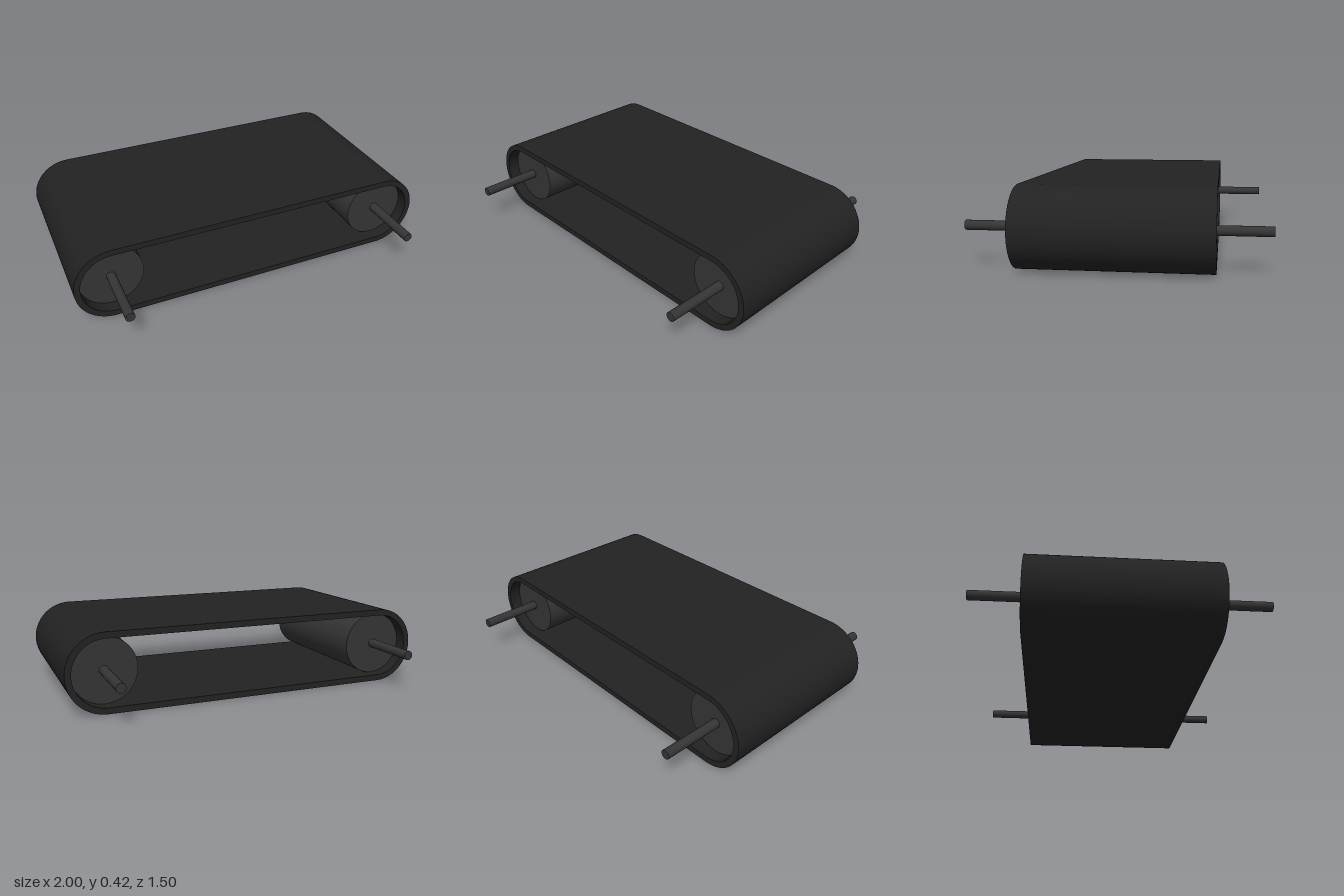
import * as THREE from 'three';
import { toCreasedNormals } from 'three/addons/utils/BufferGeometryUtils.js';

const R = 0.208;          // outer belt radius, also axle height
const SPAN = 0.792;       // roller centre offset in x
const BELT_WIDTH = 0.964;

// Rounded slot outline: two half circles joined by straight runs
function slot(path, r) {
  path.moveTo(-SPAN, -r);
  path.lineTo(SPAN, -r);
  path.absarc(SPAN, 0, r, -Math.PI / 2, Math.PI / 2, false);
  path.lineTo(-SPAN, r);
  path.absarc(-SPAN, 0, r, Math.PI / 2, Math.PI * 1.5, false);
  return path;
}

function rod(name, radius, length, sides, material) {
  const geometry = new THREE.CylinderGeometry(radius, radius, length, sides);
  geometry.rotateX(Math.PI / 2);
  const mesh = new THREE.Mesh(geometry, material);
  mesh.name = name;
  return mesh;
}

export function createModel() {
  const model = new THREE.Group();
  model.name = 'conveyorBelt';
  const rubber = new THREE.MeshStandardMaterial({ color: 0x222222 });
  const metal = new THREE.MeshStandardMaterial({ color: 0x353535 });

  // Belt loop
  const shape = slot(new THREE.Shape(), R);
  shape.holes.push(slot(new THREE.Path(), R - 0.033));
  const extruded = new THREE.ExtrudeGeometry(shape, {
    depth: BELT_WIDTH, bevelEnabled: false, curveSegments: 32,
  });
  extruded.translate(0, R, -BELT_WIDTH / 2);
  const belt = new THREE.Mesh(toCreasedNormals(extruded, Math.PI / 6), rubber);
  belt.name = 'belt';
  model.add(belt);

  // Rollers recessed inside the belt, each with a long through axle
  for (const side of [-1, 1]) {
    const assembly = new THREE.Group();
    assembly.name = side > 0 ? 'leftRollerAssembly' : 'rightRollerAssembly';
    assembly.position.set(side * SPAN, R, 0);
    assembly.add(rod('roller', 0.174, 0.832, 64, metal));
    assembly.add(rod('axle', 0.025, 1.5, 24, metal));
    model.add(assembly);
  }
  return model;
}
